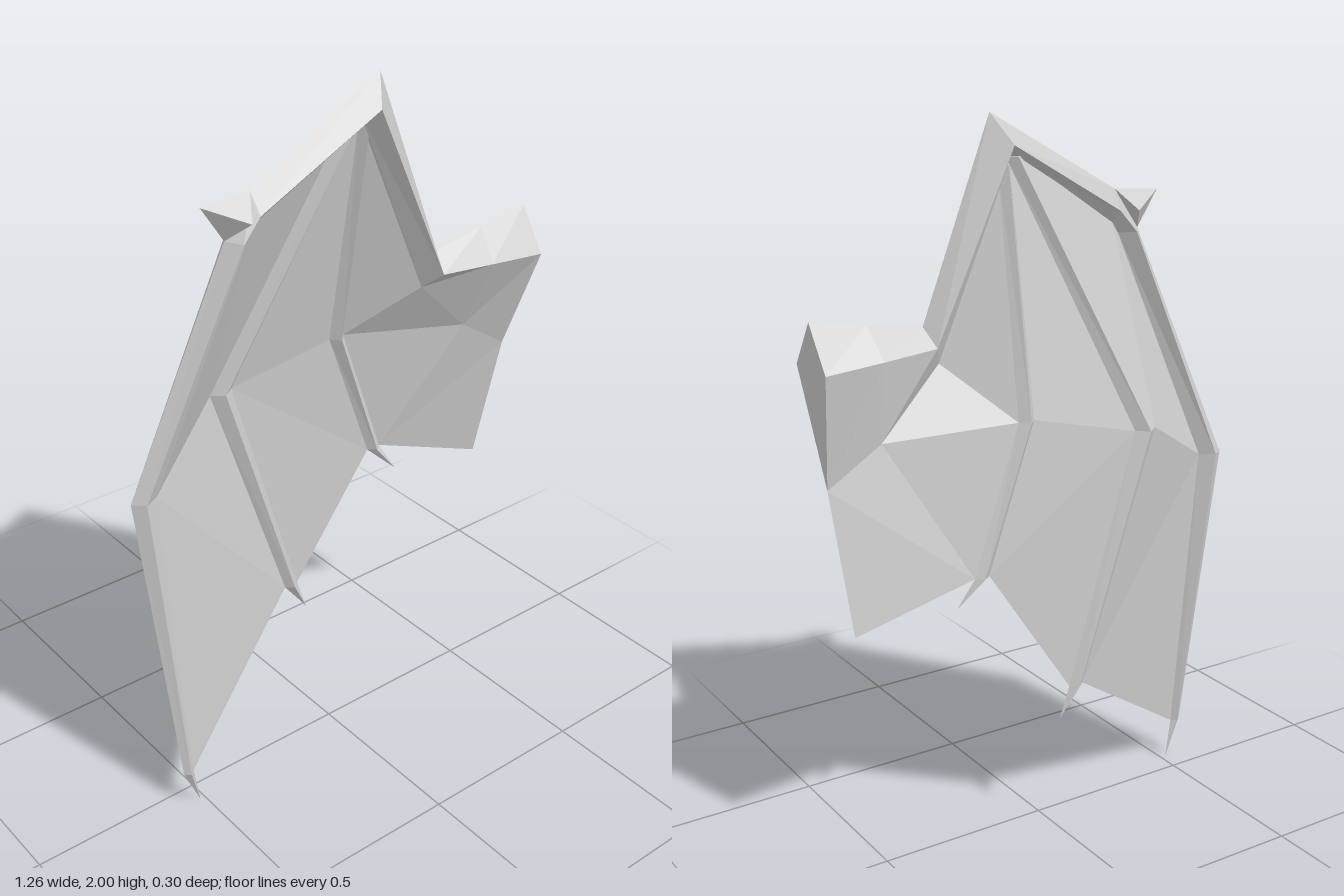
import * as THREE from 'three';

export function createModel() {
  const wing = new THREE.Group();
  wing.name = 'wing';
  const grey = new THREE.MeshStandardMaterial({ color: 0xcccccc, side: THREE.DoubleSide, flatShading: true });
  grey.name = 'grey';

  const addMesh = (name, triangles) => {
    const geometry = new THREE.BufferGeometry();
    geometry.setAttribute('position', new THREE.Float32BufferAttribute(triangles.flat(2), 3));
    geometry.computeVertexNormals();
    const mesh = new THREE.Mesh(geometry, grey);
    mesh.name = name;
    wing.add(mesh);
  };

  // A bone is a chain of diamond rings: outer, front, inner, back
  const bone = (name, rings) => {
    const tris = [];
    for (let i = 0; i < rings.length - 1; i++) {
      for (let j = 0; j < 4; j++) {
        const k = (j + 1) % 4;
        const [a, b, c, d] = [rings[i][j], rings[i + 1][j], rings[i + 1][k], rings[i][k]];
        tris.push([a, b, c], [a, c, d]);
      }
    }
    const [o, f, n, b] = rings[0];
    tris.push([o, f, n], [o, n, b]);
    addMesh(name, tris);
  };
  const ring = (x, y, z, w, d) => [[x - w, y, z], [x, y, z + d], [x + w, y, z], [x, y, z - d]];
  const point = (x, y, z) => ring(x, y, z, 0, 0);

  // Arm from the shoulder over the elbow and wrist to the outer joint
  const root = [[0.63, 1.52, 0.07], [0.63, 1.4, 0.15], [0.615, 1.09, 0.035], [0.63, 1.4, -0.015]];
  const upperArm = [[0.47, 1.495, 0.07], [0.46, 1.41, 0.135], [0.46, 1.19, 0.03], [0.46, 1.41, 0]];
  const elbow = [[0.31, 1.47, 0.07], [0.295, 1.42, 0.12], [0.27, 1.37, 0.06], [0.295, 1.42, 0.02]];
  const wrist = [[0.1, 2, 0.074], [0.065, 1.92, 0.125], [0.06, 1.88, 0.06], [0.065, 1.92, 0.01]];
  const joint = [[-0.29, 1.78, 0.065], [-0.285, 1.725, 0.1], [-0.28, 1.69, 0.06], [-0.285, 1.725, 0.03]];
  const fingerBase = [[-0.365, 1.67, 0.06], [-0.335, 1.665, 0.1], [-0.3, 1.66, 0.06], [-0.335, 1.665, 0.02]];
  bone('arm', [root, upperArm, elbow, wrist, joint, fingerBase]);

  // Claw on the outer joint
  const clawBase = [[-0.29, 1.78, 0.065], [-0.33, 1.725, 0.128], [-0.365, 1.67, 0.06], [-0.33, 1.725, 0.005]];
  bone('jointClaw', [clawBase, point(-0.43, 1.77, 0.06)]);

  // Three fingers, each ending in a small claw
  const outerKnuckle = [[-0.63, 1, -0.01], [-0.6, 1, 0.02], [-0.56, 1, 0], [-0.6, 1, -0.03]];
  const outerEnd = ring(-0.55, 0.12, 0.063, 0.016, 0.015);
  bone('outerFinger', [fingerBase, outerKnuckle, outerEnd, point(-0.515, 0, 0.06)]);

  const middleTop = ring(0.05, 1.89, 0.04, 0.024, 0.025);
  const middleKnuckle = ring(-0.267, 1.152, -0.125, 0.034, 0.027);
  const middleEnd = ring(-0.05, 0.44, -0.115, 0.022, 0.02);
  bone('middleFinger', [middleTop, middleKnuckle, middleEnd, point(0, 0.345, -0.11)]);

  const innerTop = ring(0.08, 1.87, 0.04, 0.018, 0.025);
  const innerKnuckle = ring(0.092, 1.22, -0.083, 0.024, 0.026);
  const innerEnd = ring(0.237, 0.815, -0.09, 0.022, 0.018);
  bone('innerFinger', [innerTop, innerKnuckle, innerEnd, point(0.305, 0.73, -0.07)]);

  // Membranes stretched between the bones
  const OUTER = 0, INNER = 2;
  const top = wrist[INNER];
  addMesh('outerMembrane', [
    [joint[INNER], fingerBase[INNER], outerKnuckle[INNER]],
    [joint[INNER], outerKnuckle[INNER], middleKnuckle[OUTER]],
    [joint[INNER], middleKnuckle[OUTER], middleTop[OUTER]],
    [joint[INNER], middleTop[OUTER], top],
    [outerKnuckle[INNER], outerEnd[INNER], middleEnd[OUTER]],
    [outerKnuckle[INNER], middleEnd[OUTER], middleKnuckle[OUTER]],
  ]);
  addMesh('middleMembrane', [
    [middleTop[INNER], middleKnuckle[INNER], innerTop[OUTER]],
    [innerTop[OUTER], middleKnuckle[INNER], innerKnuckle[OUTER]],
    [middleKnuckle[INNER], middleEnd[INNER], innerEnd[OUTER]],
    [middleKnuckle[INNER], innerEnd[OUTER], innerKnuckle[OUTER]],
  ]);
  const bodyCorner = [0.588, 0.705, -0.035];
  addMesh('innerMembrane', [
    [top, innerTop[INNER], elbow[INNER]],
    [innerTop[INNER], innerKnuckle[INNER], elbow[INNER]],
    [innerKnuckle[INNER], upperArm[INNER], elbow[INNER]],
    [innerKnuckle[INNER], innerEnd[INNER], upperArm[INNER]],
    [innerEnd[INNER], root[INNER], upperArm[INNER]],
    [innerEnd[INNER], bodyCorner, root[INNER]],
  ]);
  return wing;
}
